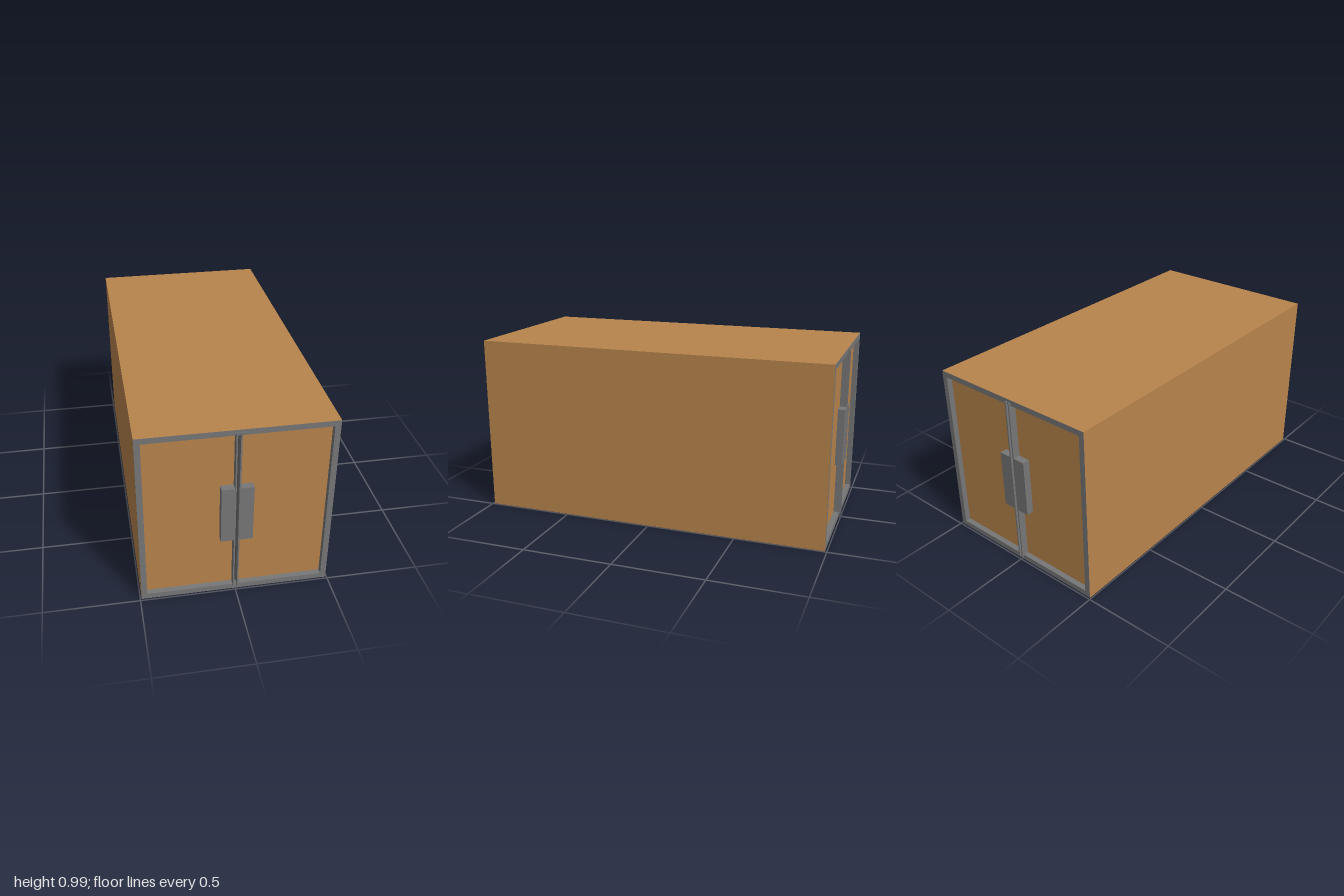
import * as THREE from 'three';

const W = 0.987, H = 0.99, HALF = 0.99;   // outer width, height, half length
const RIM = 0.031, PANEL_Z = 0.96, FRONT_Z = 1.0;

const wood = new THREE.MeshStandardMaterial({ color: 0xb8844c });
const steel = new THREE.MeshStandardMaterial({ color: 0x777777 });
const dark = new THREE.MeshStandardMaterial({ color: 0x424242 });

function add(parent, name, geometry, material, x, y, z) {
  const mesh = new THREE.Mesh(geometry, material);
  mesh.name = name;
  mesh.position.set(x, y, z);
  parent.add(mesh);
  return mesh;
}

// Box given by its min and max corners
function addBox(parent, name, material, [x0, y0, z0], [x1, y1, z1]) {
  const geometry = new THREE.BoxGeometry(x1 - x0, y1 - y0, z1 - z0);
  return add(parent, name, geometry, material, (x0 + x1) / 2, (y0 + y1) / 2, (z0 + z1) / 2);
}

function rectangle(Type, w, h) {
  const path = new Type();
  path.moveTo(-w / 2, -h / 2).lineTo(w / 2, -h / 2);
  path.lineTo(w / 2, h / 2).lineTo(-w / 2, h / 2).closePath();
  return path;
}

// One end: rim, recessed panels, centre seam, edge strips and handles
function createEnd() {
  const end = new THREE.Group();

  const outline = rectangle(THREE.Shape, W - 0.001, H - 0.001);
  outline.holes.push(rectangle(THREE.Path, W - 2 * RIM, H - 2 * RIM));
  const rim = new THREE.ExtrudeGeometry(outline, { depth: HALF - PANEL_Z, bevelEnabled: false });
  add(end, 'rimFrame', rim, steel, 0, H / 2, PANEL_Z);

  add(end, 'doorPanels', new THREE.PlaneGeometry(W - 0.002, H - 0.002), wood, 0, H / 2, PANEL_Z);
  add(end, 'centreSeam', new THREE.PlaneGeometry(0.016, H - 2 * RIM), dark, 0, H / 2, PANEL_Z + 0.002);

  for (const side of [-1, 1]) {
    const label = side > 0 ? 'left' : 'right';
    const span = (a, b) => (side > 0 ? [a, b] : [-b, -a]);
    const [s0, s1] = span(0.007, 0.0145);
    addBox(end, label + 'EdgeStrip', steel, [s0, 0.017, PANEL_Z], [s1, 0.976, FRONT_Z]);
    const [h0, h1] = span(0.0145, 0.082);
    addBox(end, label + 'Handle', steel, [h0, 0.337, PANEL_Z], [h1, 0.657, FRONT_Z]);
  }
  return end;
}

export function createModel() {
  const model = new THREE.Group();
  model.name = 'doubleEndedCabinet';

  // Wooden sleeve: the four long sides of a box, open at both ends
  const sleeve = new THREE.BoxGeometry(W, H, 2 * HALF);
  sleeve.setIndex(Array.from(sleeve.index.array).slice(0, 24));
  sleeve.clearGroups();
  add(model, 'sleeve', sleeve, wood, 0, H / 2, 0);

  // The same door arrangement at the front and the back
  const front = createEnd();
  front.name = 'frontEnd';
  const back = createEnd();
  back.name = 'backEnd';
  back.rotation.y = Math.PI;
  model.add(front, back);

  return model;
}
